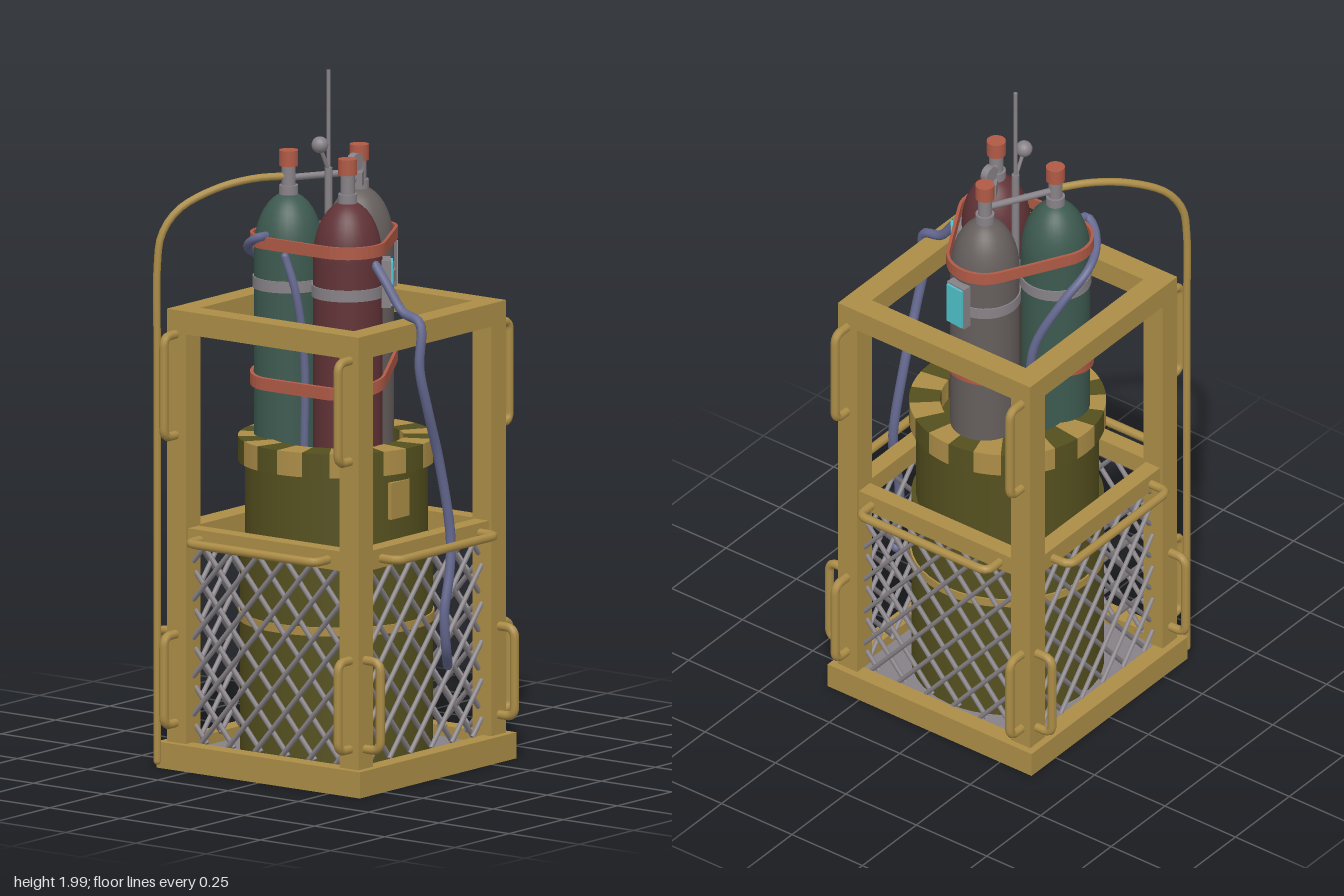
import * as THREE from 'three';
import { mergeGeometries } from 'three/addons/utils/BufferGeometryUtils.js';

const V = (x, y, z) => new THREE.Vector3(x, y, z);

export function createModel() {
  const root = new THREE.Group();
  root.name = 'gasCylinderCage';
  const mat = (name, color) => {
    const m = new THREE.MeshStandardMaterial({ color });
    m.name = name;
    return m;
  };
  const yellow = mat('yellowPaint', 0xac8d47);
  const olive = mat('olive', 0x55501f);
  const steel = mat('steel', 0x878287);
  const red = mat('darkRed', 0x613337);
  const grey = mat('warmGrey', 0x655e5c);
  const green = mat('darkGreen', 0x3d5a50);
  const hoseBlue = mat('hoseBlue', 0x64688f);
  const strapRed = mat('strapRed', 0xb05a46);
  const cyan = mat('cyan', 0x4fc3cb);

  const add = (name, geo, m, parent = root, x = 0, y = 0, z = 0) => {
    const mesh = new THREE.Mesh(geo, m);
    mesh.name = name;
    mesh.position.set(x, y, z);
    parent.add(mesh);
    return mesh;
  };
  const box = (name, w, h, d, m, parent, x, y, z) =>
    add(name, new THREE.BoxGeometry(w, h, d), m, parent, x, y, z);
  const cyl = (name, r, y0, y1, m, x = 0, z = 0, seg = 20) =>
    add(name, new THREE.CylinderGeometry(r, r, y1 - y0, seg), m, root, x, (y0 + y1) / 2, z);
  // Round bar between two points
  const barGeo = (a, b, r, seg = 6) => {
    const dir = b.clone().sub(a);
    const g = new THREE.CylinderGeometry(r, r, dir.length(), seg);
    g.applyQuaternion(new THREE.Quaternion().setFromUnitVectors(V(0, 1, 0), dir.normalize()));
    const mid = a.clone().add(b).multiplyScalar(0.5);
    return g.translate(mid.x, mid.y, mid.z);
  };
  const hose = (name, pts, r, m) => {
    const curve = new THREE.CatmullRomCurve3(pts.map((p) => V(...p)));
    add(name, new THREE.TubeGeometry(curve, 70, r, 10), m);
    for (const p of [pts[0], pts[pts.length - 1]]) {
      add(name + 'End', new THREE.SphereGeometry(r, 10, 6), m, root, ...p);
    }
  };

  // Upright grab handle with rounded corners, standing out along +z
  const handleGeo = (len, out = 0.06, c = 0.028) => {
    const h = len / 2;
    const path = new THREE.CurvePath();
    path.add(new THREE.LineCurve3(V(0, -h, 0), V(0, -h, out - c)));
    path.add(new THREE.QuadraticBezierCurve3(V(0, -h, out - c), V(0, -h, out), V(0, -h + c, out)));
    path.add(new THREE.LineCurve3(V(0, -h + c, out), V(0, h - c, out)));
    path.add(new THREE.QuadraticBezierCurve3(V(0, h - c, out), V(0, h, out), V(0, h, out - c)));
    path.add(new THREE.LineCurve3(V(0, h, out - c), V(0, h, 0)));
    return new THREE.TubeGeometry(path, 48, 0.013, 8);
  };

  // Diagonal wire lattice for one side panel
  const X = 0.275, Y0 = 0.08, Y1 = 0.65, slope = 1.15, step = 0.096;
  const wires = [];
  for (const s of [1, -1]) {
    for (let i = -9; i <= 9; i++) {
      const c = i * step;
      const at = (y) => c + (s * (y - 0.365)) / slope;
      const yAt = (x) => 0.365 + s * slope * (x - c);
      const ends = [yAt(-X), yAt(X)].sort((a, b) => a - b);
      const a = Math.max(Y0, ends[0]), b = Math.min(Y1, ends[1]);
      if (b - a > 0.02) wires.push(barGeo(V(at(a), a, s * 0.005), V(at(b), b, s * 0.005), 0.0075));
    }
  }
  const lattice = mergeGeometries(wires);

  // Cage: base, posts and four similar sides
  box('floorPlate', 0.66, 0.03, 0.66, steel, root, 0, 0.035, 0);
  for (const x of [-1, 1]) for (const z of [-1, 1]) {
    box('post', 0.068, 1.245, 0.068, yellow, root, x * 0.307, 0.7025, z * 0.307);
  }
  for (let k = 0; k < 4; k++) {
    const side = new THREE.Group();
    side.name = 'cageSide';
    side.rotation.y = (k * Math.PI) / 2;
    root.add(side);
    box('baseBeam', k % 2 ? 0.62 : 0.724, 0.075, 0.052, yellow, side, 0, 0.0435, 0.336);
    box('topBeam', 0.546, 0.066, 0.068, yellow, side, 0, 1.292, 0.307);
    box('middleBeam', 0.546, 0.056, 0.05, yellow, side, 0, 0.672, 0.307);
    add('lattice', lattice, steel, side, 0, 0, 0.3);
    for (const x of [-0.31, 0.31]) {
      add('lowerHandle', handleGeo(0.255), yellow, side, x, 0.265, 0.335);
      if (k % 2) add('upperHandle', handleGeo(0.29), yellow, side, x, 1.11, 0.335);
    }
    add('sideHandle', handleGeo(0.455), yellow, side, 0, 0.672, 0.335).rotation.z = Math.PI / 2;
  }

  // Drum with hoop, neck, plate and striped collar
  cyl('drum', 0.272, 0.05, 0.63, olive, 0, 0, 44);
  cyl('drumHoop', 0.277, 0.425, 0.45, yellow, 0, 0, 44);
  cyl('drumNeck', 0.258, 0.63, 0.885, olive, 0, 0, 44);
  box('drumPlate', 0.085, 0.105, 0.012, yellow, root, -0.043, 0.803, 0.255);
  const stripe = (2 * Math.PI) / 22;
  for (let i = 0; i < 22; i++) {
    const a = THREE.MathUtils.degToRad(58) + (i - 0.5) * stripe;
    const s = new THREE.Shape();
    s.absarc(0, 0, 0.278, a, a + stripe, false);
    s.absarc(0, 0, 0.19, a + stripe, a, true);
    const g = new THREE.ExtrudeGeometry(s, { depth: 0.07, bevelEnabled: false, curveSegments: 2 });
    add('collarStripe', g.rotateX(-Math.PI / 2), i % 2 ? olive : yellow, root, 0, 0.88, 0);
  }

  // Gas cylinders with domed shoulders and valves
  const R = 0.098;
  const tanks = [
    { name: 'red', x: -0.065, z: 0.09, m: red },
    { name: 'grey', x: 0.125, z: -0.015, m: grey },
    { name: 'green', x: -0.065, z: -0.12, m: green },
  ];
  const profile = [new THREE.Vector2(R, 0.87), new THREE.Vector2(R, 1.2)];
  for (let i = 0; i <= 10; i++) {
    const t = (i / 10) * Math.PI * 0.5;
    profile.push(new THREE.Vector2(Math.max(0.001, R * Math.cos(t)), 1.48 + 0.165 * Math.sin(t)));
  }
  for (const t of tanks) {
    add(t.name + 'Cylinder', new THREE.LatheGeometry(profile, 32), t.m, root, t.x, 0, t.z);
    cyl('valveNeck', 0.027, 1.625, 1.665, steel, t.x, t.z);
    cyl('valveBody', 0.02, 1.66, 1.725, steel, t.x, t.z);
    cyl('valveCap', 0.027, 1.72, 1.765, strapRed, t.x, t.z);
    cyl('cylinderBand', R + 0.004, 1.372, 1.405, steel, t.x, t.z, 32);
  }

  // Tags clipped to two of the cylinders
  for (const [t, dx, dz] of [[tanks[0], 0.63, 0.78], [tanks[1], 0.99, 0.1]]) {
    const tag = new THREE.Group();
    tag.name = 'tag';
    tag.position.set(t.x + dx * 0.108, 1.41, t.z + dz * 0.108);
    tag.rotation.y = Math.atan2(dx, dz);
    root.add(tag);
    box('tagHolder', 0.066, 0.135, 0.026, steel, tag, 0, 0, 0);
    box('tagFace', 0.058, 0.125, 0.008, cyan, tag, 0, 0, 0.016);
  }

  // Straps wrapped round all three cylinders
  const hull = (r) => {
    const pts = [];
    const order = [tanks[0], tanks[1], tanks[2]].map((t) => [t.x, -t.z]);
    order.forEach((p, i) => {
      const q = order[(i + 1) % 3], o = order[(i + 2) % 3];
      const a0 = Math.atan2(p[1] - o[1], p[0] - o[0]) - Math.PI / 2;
      let a1 = Math.atan2(q[1] - p[1], q[0] - p[0]) - Math.PI / 2;
      while (a1 < a0) a1 += 2 * Math.PI;
      for (let j = 0; j <= 12; j++) {
        const a = a0 + ((a1 - a0) * j) / 12;
        pts.push(new THREE.Vector2(p[0] + r * Math.cos(a), p[1] + r * Math.sin(a)));
      }
    });
    return pts;
  };
  for (const [y, tilt] of [[1.495, 0], [1.115, 0.15]]) {
    const s = new THREE.Shape(hull(0.109));
    s.holes.push(new THREE.Path(hull(0.1)));
    const g = new THREE.ExtrudeGeometry(s, { depth: 0.035, bevelEnabled: false });
    g.rotateX(-Math.PI / 2);
    const p = g.attributes.position;
    for (let i = 0; i < p.count; i++) p.setY(i, p.getY(i) + tilt * p.getX(i));
    g.computeVertexNormals();
    add('strap', g, strapRed, root, 0, y, 0);
  }

  // Manifold, gauges and aerial
  const valve = (t) => V(t.x, 1.685, t.z);
  for (const t of [tanks[0], tanks[2]]) {
    add('manifoldPipe', barGeo(valve(t), valve(tanks[1]), 0.01, 10), steel);
  }
  box('regulator', 0.035, 0.04, 0.045, steel, root, 0.04, 1.685, 0.035).rotation.y = 0.5;
  cyl('gaugeStem', 0.007, 1.69, 1.73, steel, 0.04, 0.035, 8);
  const dial = new THREE.CylinderGeometry(0.025, 0.025, 0.022, 18).rotateX(Math.PI / 2);
  add('gauge', dial, steel, root, 0.04, 1.733, 0.035);
  cyl('aerialPole', 0.011, 0.87, 1.72, steel, -0.017, -0.015, 10);
  cyl('aerial', 0.006, 1.72, 2, steel, -0.017, -0.015, 8);
  add('gaugeArm', barGeo(V(-0.017, 1.71, -0.015), V(-0.053, 1.785, -0.018), 0.006), steel);
  add('ballGauge', new THREE.SphereGeometry(0.024, 16, 12), steel, root, -0.053, 1.79, -0.018);

  // Hoses
  hose('frontHose', [[-0.065, 1.47, 0.19], [-0.07, 1.42, 0.235], [-0.07, 1.35, 0.29],
    [-0.075, 1.325, 0.355], [-0.09, 1.2, 0.365], [-0.06, 1.08, 0.37], [0, 0.92, 0.365],
    [0.04, 0.7, 0.375], [0.03, 0.6, 0.38], [0.005, 0.48, 0.38], [0.02, 0.38, 0.375],
    [0.06, 0.32, 0.35]], 0.014, hoseBlue);
  hose('backHose', [[-0.15, 1.53, -0.13], [-0.19, 1.53, -0.135], [-0.18, 1.51, -0.17],
    [-0.13, 1.48, -0.213], [-0.065, 1.45, -0.232], [0.01, 1.37, -0.2], [0.06, 1.22, -0.14],
    [0.06, 1.05, -0.125], [0.06, 0.88, -0.125]], 0.013, hoseBlue);
  hose('sideHose', [[-0.16, 1.48, -0.06], [-0.15, 1.38, -0.03], [-0.13, 1.2, -0.015],
    [-0.13, 0.88, -0.015]], 0.012, hoseBlue);
  hose('supplyHose', [[-0.065, 1.69, -0.12], [-0.15, 1.688, -0.18], [-0.24, 1.665, -0.245],
    [-0.33, 1.61, -0.31], [-0.37, 1.54, -0.338], [-0.38, 1.45, -0.345], [-0.38, 1.2, -0.345],
    [-0.38, 0.6, -0.345], [-0.38, 0.03, -0.345]], 0.011, yellow);

  return root;
}
